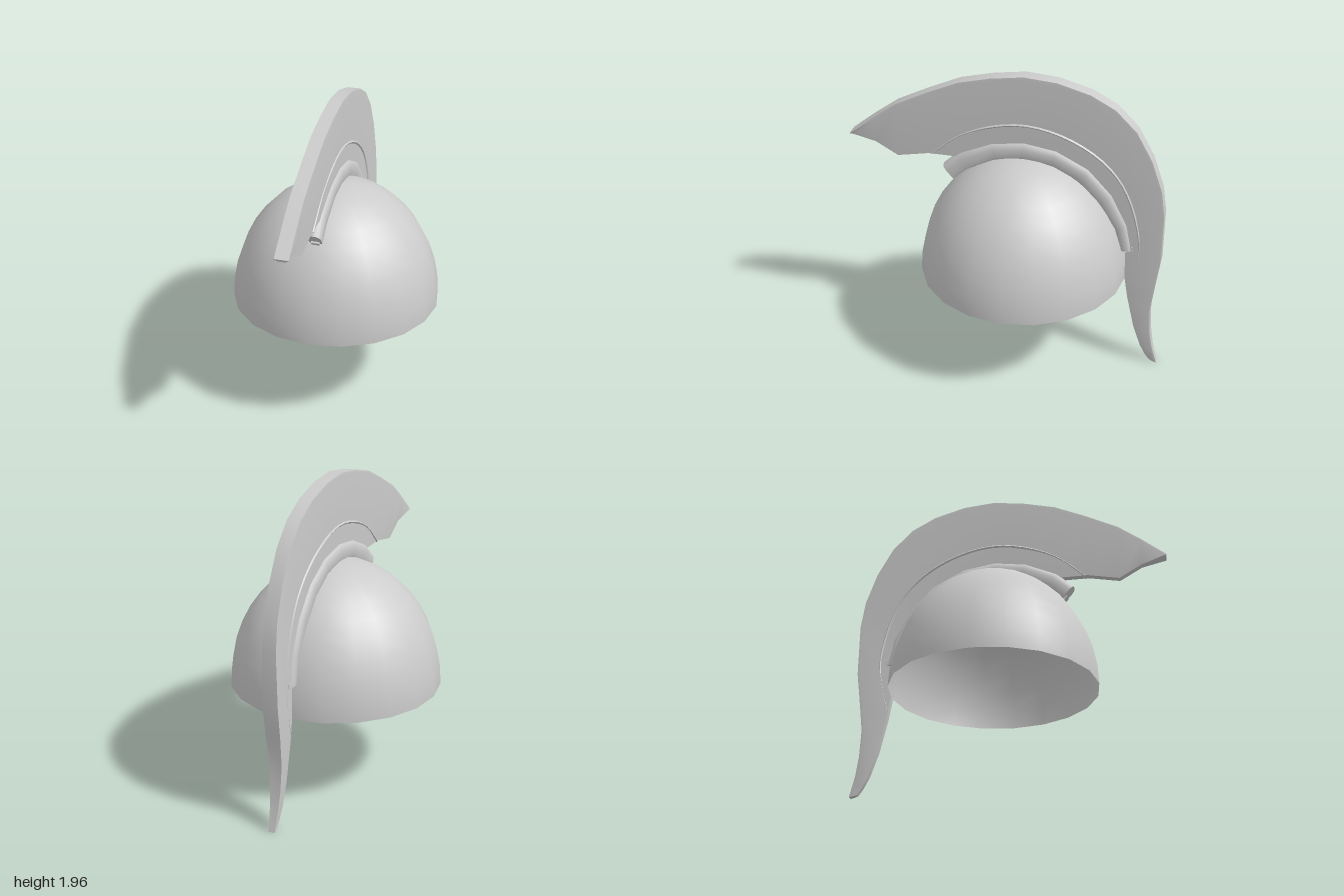
import * as THREE from 'three';
import { toCreasedNormals } from 'three/addons/utils/BufferGeometryUtils.js';

const material = new THREE.MeshStandardMaterial({ color: 0xcccccc, side: THREE.DoubleSide });

// Skins a closed surface over equal-sized rings of [x, y, z] points, with end caps.
function loft(rings, crease) {
  const n = rings[0].length;
  const position = rings.flat(2);
  const index = [];
  for (let i = 0; i < rings.length - 1; i++) {
    for (let j = 0; j < n; j++) {
      const a = i * n + j, a1 = i * n + (j + 1) % n;
      index.push(a, a + n, a1 + n, a, a1 + n, a1);
    }
  }
  const last = (rings.length - 1) * n;
  for (let j = 1; j < n - 1; j++) index.push(0, j, j + 1, last, last + j + 1, last + j);
  const geometry = new THREE.BufferGeometry();
  geometry.setAttribute('position', new THREE.Float32BufferAttribute(position, 3));
  geometry.setIndex(index);
  return toCreasedNormals(geometry, crease);
}

// A ring across the x = 0 plane: section points are [half width, share of the way from inner to outer].
function ring([oz, oy], [iz, iy], section) {
  return section.map(([x, t]) => [x, iy + (oy - iy) * t, iz + (oz - iz) * t]);
}

function addPart(group, name, geometry) {
  const mesh = new THREE.Mesh(geometry, material);
  mesh.name = name;
  group.add(mesh);
  return mesh;
}

export function createModel() {
  const group = new THREE.Group();
  group.name = 'crestedHelmet';

  // Open half-dome bowl
  const dome = new THREE.SphereGeometry(1, 20, 10, 0, Math.PI * 2, 0, Math.PI / 2);
  dome.scale(0.66, 0.785, 0.653).translate(0, 0.635, -0.105);
  addPart(group, 'bowl', dome);

  // Crest stations from front tip to tail: outer z, y, inner z, y, half width of the rim
  const stations = [
    [1, 1.46, 0.995, 1.445, 0.043], [0.85, 1.58, 0.84, 1.41, 0.043],
    [0.7, 1.69, 0.7, 1.33, 0.043], [0.5, 1.79, 0.5, 1.37, 0.043],
    [0.3, 1.88, 0.33, 1.37, 0.043], [0.1, 1.93, 0.09, 1.45, 0.043],
    [-0.1, 1.96, -0.1, 1.48, 0.043], [-0.3, 1.945, -0.29, 1.45, 0.043],
    [-0.5, 1.89, -0.45, 1.36, 0.043], [-0.65, 1.81, -0.54, 1.28, 0.043],
    [-0.78, 1.68, -0.62, 1.18, 0.043], [-0.88, 1.5, -0.68, 1.08, 0.043],
    [-0.95, 1.3, -0.72, 0.97, 0.043], [-0.975, 1.13, -0.75, 0.87, 0.045],
    [-0.975, 0.8, -0.755, 0.65, 0.05], [-0.95, 0.6, -0.78, 0.5, 0.048],
    [-0.93, 0.42, -0.83, 0.28, 0.043], [-0.94, 0.25, -0.88, 0.13, 0.036],
    [-0.96, 0.13, -0.915, 0.06, 0.028], [-0.995, 0.003, -0.945, 0.015, 0.02],
  ];
  const crestRings = stations.map(([oz, oy, iz, iy, w]) => {
    const rim = 1 - Math.min(0.3, 0.017 / Math.hypot(oz - iz, oy - iy));
    const inner = w * 0.5;
    return ring([oz, oy], [iz, iy], [[inner, 0], [w, rim], [w * 0.97, 1], [-w * 0.97, 1], [-w, rim], [-inner, 0]]);
  });
  addPart(group, 'crest', loft(crestRings, 0.6));

  // Raised bead running along the crest, thinning out at both ends
  const beadPath = new THREE.CatmullRomCurve3([
    [0.48, 1.37], [0.3, 1.52], [0.1, 1.605], [-0.1, 1.637], [-0.3, 1.605], [-0.5, 1.515], [-0.65, 1.39],
    [-0.75, 1.23], [-0.82, 1.0], [-0.835, 0.85], [-0.81, 0.68], [-0.78, 0.55],
  ].map(([z, y]) => new THREE.Vector3(0, y, z)));
  const beadRings = [];
  for (let i = 0; i <= 32; i++) {
    const p = beadPath.getPoint(i / 32), t = beadPath.getTangent(i / 32);
    const size = Math.min(1, 0.45 + 3 * Math.min(i, 32 - i) / 32);
    const section = [];
    for (let j = 0; j < 10; j++) {
      const a = j / 10 * Math.PI * 2;
      const v = Math.sin(a) * 0.015 * size;
      section.push([Math.cos(a) * 0.036 * (0.6 + 0.4 * size), p.y - t.z * v, p.z + t.y * v]);
    }
    beadRings.push(section);
  }
  addPart(group, 'crestBead', loft(beadRings, 1.2));

  // Rounded holder that seats the crest on the bowl: outer z, y, inner z, y
  const holder = [
    [0.41, 1.3, 0.34, 1.22], [0.3, 1.4, 0.25, 1.3], [0.1, 1.49, 0.07, 1.39],
    [-0.1, 1.52, -0.1, 1.41], [-0.3, 1.49, -0.28, 1.385], [-0.5, 1.39, -0.44, 1.3],
    [-0.65, 1.23, -0.58, 1.15], [-0.75, 1.03, -0.68, 1.0], [-0.79, 0.85, -0.72, 0.85],
  ];
  const half = [[0.034, 0], [0.042, 0.15], [0.042, 0.65], [0.034, 0.88], [0.018, 1]];
  const holderSection = [...half, ...half.map(([x, t]) => [-x, t]).reverse()];
  addPart(group, 'crestHolder',
    loft(holder.map(([oz, oy, iz, iy]) => ring([oz, oy], [iz, iy], holderSection)), 0.8));

  // Small clasps at both ends of the holder
  const frontClasp = addPart(group, 'frontClasp', new THREE.BoxGeometry(0.05, 0.03, 0.035));
  frontClasp.position.set(0, 1.235, 0.345);
  frontClasp.rotation.x = 0.75;
  const backClasp = addPart(group, 'backClasp', new THREE.BoxGeometry(0.06, 0.03, 0.03));
  backClasp.position.set(0, 0.865, -0.785);

  return group;
}
